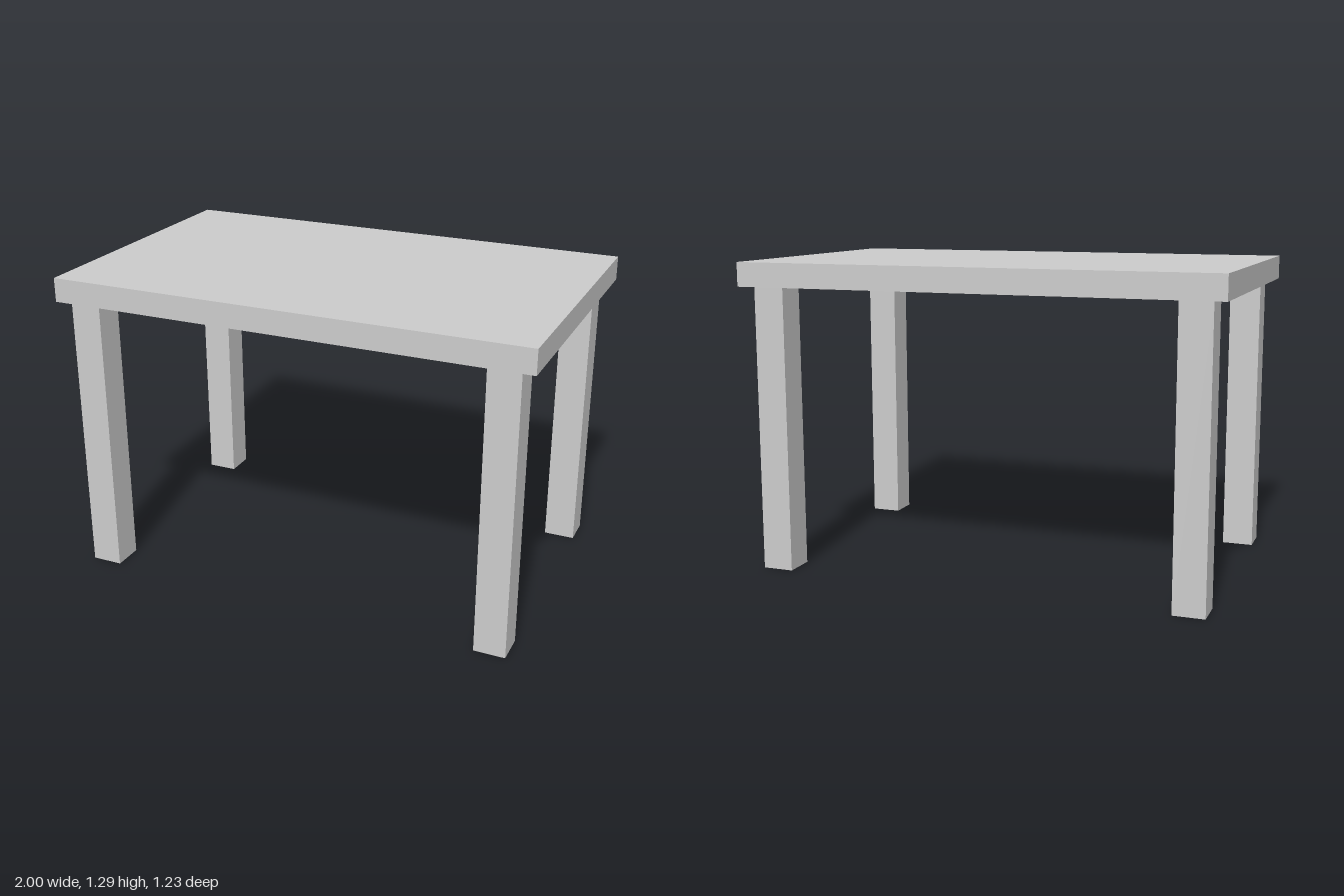
import * as THREE from 'three';

const HEIGHT = 1.29;
const TOP_THICKNESS = 0.1;
const LEG_WIDTH = 0.13;

export function createModel() {
  const table = new THREE.Group();
  table.name = 'table';
  const material = new THREE.MeshStandardMaterial({ color: 0xcccccc, flatShading: true });

  function addBox(name, width, height, depth, x, y, z) {
    const mesh = new THREE.Mesh(new THREE.BoxGeometry(width, height, depth), material);
    mesh.name = name;
    mesh.position.set(x, y, z);
    table.add(mesh);
  }

  // Slab top
  addBox('tableTop', 2, TOP_THICKNESS, 1.23, 0, HEIGHT - TOP_THICKNESS / 2, 0);

  // Four square legs, set in slightly from the corners
  const legHeight = HEIGHT - TOP_THICKNESS;
  for (const [side, x] of [['Right', -0.881], ['Left', 0.877]]) {
    for (const [end, z] of [['front', 0.519], ['back', -0.517]]) {
      addBox(`${end}${side}Leg`, LEG_WIDTH, legHeight, LEG_WIDTH, x, legHeight / 2, z);
    }
  }

  return table;
}
